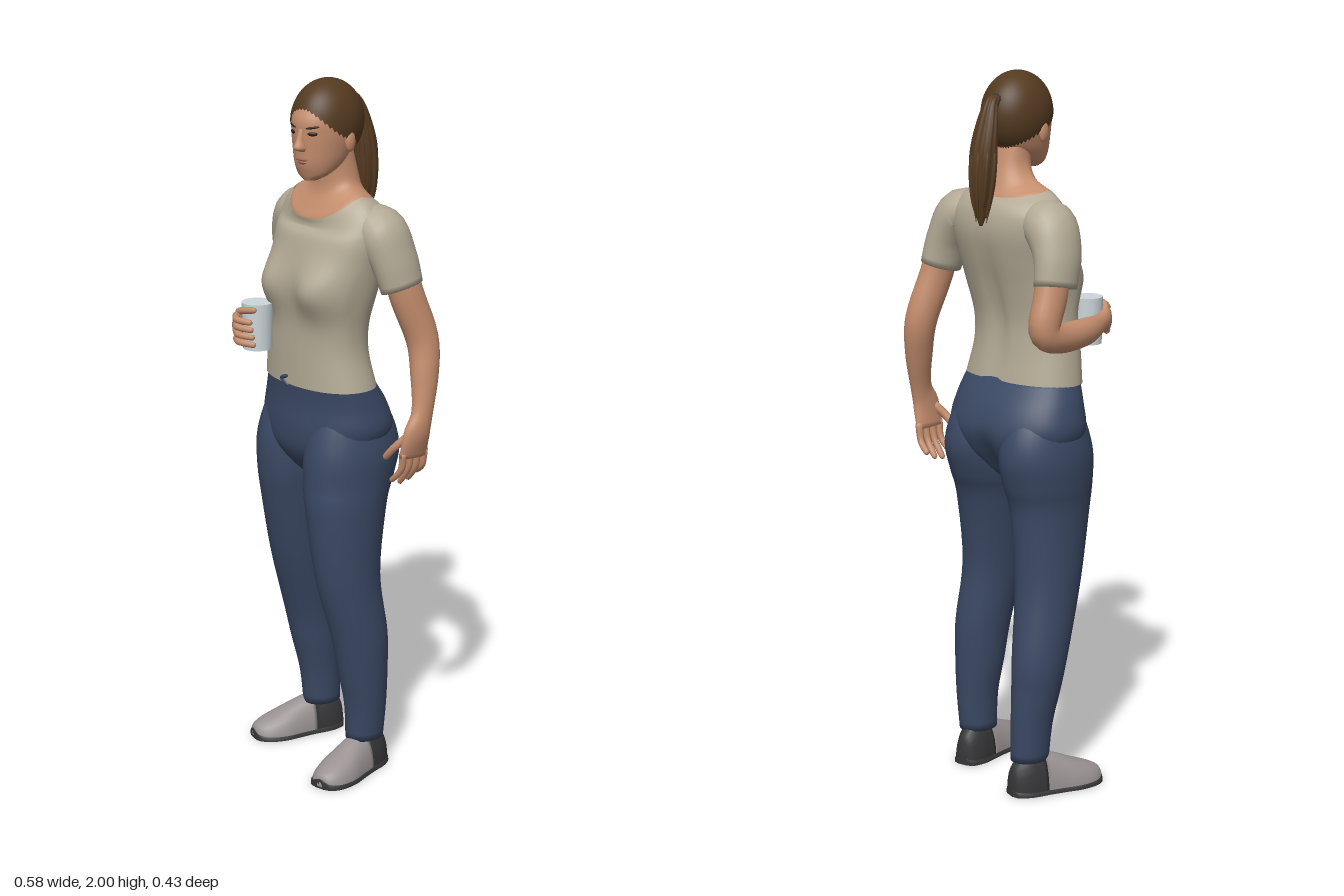
import * as THREE from 'three';
import { mergeVertices } from 'three/addons/utils/BufferGeometryUtils.js';

const V = (x, y, z) => new THREE.Vector3(x, y, z);
const mat = (name, color) => new THREE.MeshStandardMaterial({ name, color, side: THREE.DoubleSide });

// Smooth skin through rings [x, y, z, radiusU, radiusV]; fixed keeps every ring in one plane direction
function loft(rings, { u0 = V(1, 0, 0), fixed = null, seg = 24, steps = 5, pow = 1, caps = true, ripple = 0, warp = null } = {}) {
  const path = new THREE.CatmullRomCurve3(rings.map(r => V(r[0], r[1], r[2])), false, 'catmullrom');
  const size = new THREE.CatmullRomCurve3(rings.map(r => V(r[3], r[4], 0)), false, 'catmullrom');
  const rows = (rings.length - 1) * steps, pos = [], idx = [];
  const soft = c => Math.sign(c) * Math.abs(c) ** pow;
  for (let i = 0; i <= rows; i++) {
    const c = path.getPoint(i / rows), s = size.getPoint(i / rows);
    const t = fixed || path.getTangent(i / rows);
    const u = u0.clone().addScaledVector(t, -t.dot(u0)).normalize();
    const v = t.clone().cross(u);
    for (let j = 0; j < seg; j++) {
      const a = j / seg * Math.PI * 2, k = 1 + ripple * Math.cos(a * seg / 4);
      const p = c.clone().addScaledVector(u, s.x * k * soft(Math.cos(a))).addScaledVector(v, s.y * k * soft(Math.sin(a)));
      if (warp) warp(p);
      pos.push(p.x, p.y, p.z);
      if (i < rows) {
        const A = i * seg + j, B = i * seg + (j + 1) % seg;
        idx.push(A, B, B + seg, A, B + seg, A + seg);
      }
    }
  }
  if (caps) [0, rows].forEach(row => {
    const c = path.getPoint(row / rows), n = pos.length / 3;
    if (warp) warp(c);
    pos.push(c.x, c.y, c.z);
    for (let j = 0; j < seg; j++) {
      const A = row * seg + j, B = row * seg + (j + 1) % seg;
      row ? idx.push(A, B, n) : idx.push(B, A, n);
    }
  });
  const g = new THREE.BufferGeometry();
  g.setAttribute('position', new THREE.Float32BufferAttribute(pos, 3));
  g.setIndex(idx);
  g.computeVertexNormals();
  return g;
}

const UP = V(0, 1, 0), Z = V(0, 0, 1);
const upright = (rings, o = {}) => loft(rings, { fixed: UP, ...o }); // rings listed from low to high

function add(parent, name, geo, material) {
  const m = new THREE.Mesh(geo, material);
  m.name = name;
  parent.add(m);
  return m;
}

function blob(parent, name, material, p, s, ry = 0, rz = 0) {
  const m = add(parent, name, new THREE.SphereGeometry(1, 16, 10), material);
  m.position.set(...p);
  m.scale.set(...s);
  m.rotation.set(0, ry, rz);
}

const finger = (g, name, m, pts, r, u0) => add(g, name,
  loft(pts.map((p, i) => [...p, r * (1 - i * 0.12), r * (1 - i * 0.12)]).concat([[...pts[2].map((v, k) => v + (v - pts[1][k]) * 0.2), r * 0.3, r * 0.3]]), { u0, seg: 8, steps: 4 }), m);

// Soft bump around a point in x and y
const bump = (p, x, y, sx, sy) => Math.exp(-(((p.x - x) / sx) ** 2) - ((p.y - y) / sy) ** 2);

// Lowers the collar at the front and a little at the back
function scoop(p) {
  const d = (p.z + 0.045) / 0.09;
  p.y -= THREE.MathUtils.smoothstep(p.y, 1.57, 1.69) * (0.066 * Math.min(1, Math.max(0, d)) ** 1.5 + 0.02 * Math.min(1, Math.max(0, -d)));
}

export function createModel() {
  const body = new THREE.Group();
  body.name = 'standingWoman';
  const skin = mat('skin', 0xc48d6d), hair = mat('hair', 0x543a20), shirt = mat('shirt', 0xb3aa95);
  const denim = mat('trousers', 0x3a4863), shoe = mat('shoeUpper', 0x9a9292), dark = mat('shoeDark', 0x363638);
  const cupMat = mat('cup', 0xccd6da), eye = mat('eyeDark', 0x2c1e18), lip = mat('lips', 0xa06354), tie = mat('hairTie', 0x2b3244);

  // Shirt body: bust, spine groove and a scooped neckline
  add(body, 'shirtBody', upright([
    [-0.033, 1.155, -0.02, 0.192, 0.114], [-0.037, 1.25, -0.012, 0.174, 0.106], [-0.03, 1.33, -0.012, 0.168, 0.104],
    [-0.02, 1.42, -0.022, 0.176, 0.112], [-0.015, 1.5, -0.034, 0.184, 0.122], [-0.015, 1.57, -0.048, 0.194, 0.122],
    [-0.018, 1.63, -0.058, 0.19, 0.108], [-0.02, 1.668, -0.055, 0.164, 0.1], [-0.02, 1.69, -0.045, 0.132, 0.092],
  ], {
    seg: 48, pow: 0.9, caps: false, warp: p => {
      if (p.z > 0) p.z += 0.046 * (bump(p, -0.115, 1.435, 0.072, 0.07) + bump(p, 0.08, 1.435, 0.072, 0.07));
      if (p.z < -0.07) p.z += 0.016 * bump(p, -0.025, 1.35, 0.025, 0.18);
      scoop(p);
    },
  }), shirt);

  // Neck and upper chest, closing the collar
  add(body, 'neck', upright([
    [-0.02, 1.66, -0.05, 0.135, 0.09], [-0.02, 1.689, -0.045, 0.131, 0.091], [-0.019, 1.701, -0.05, 0.106, 0.079],
    [-0.015, 1.72, -0.056, 0.076, 0.064], [-0.008, 1.76, -0.052, 0.061, 0.055], [-0.008, 1.82, -0.04, 0.058, 0.05],
  ], { seg: 48, pow: 0.9, warp: scoop }), skin);

  // Sleeves and arms
  add(body, 'rightSleeve', loft([[-0.1, 1.59, -0.062, 0.06, 0.05], [-0.178, 1.6, -0.068, 0.077, 0.07],
    [-0.224, 1.53, -0.08, 0.073, 0.057], [-0.237, 1.442, -0.098, 0.066, 0.05]], { u0: Z }), shirt);
  add(body, 'leftSleeve', loft([[0.07, 1.59, -0.072, 0.06, 0.05], [0.143, 1.598, -0.08, 0.077, 0.07],
    [0.186, 1.53, -0.096, 0.072, 0.055], [0.206, 1.448, -0.112, 0.065, 0.049]], { u0: Z }), shirt);
  add(body, 'rightArm', loft([[-0.22, 1.55, -0.085, 0.04, 0.05], [-0.237, 1.43, -0.115, 0.042, 0.05], [-0.243, 1.335, -0.145, 0.041, 0.045],
    [-0.243, 1.305, -0.09, 0.04, 0.042], [-0.226, 1.303, 0.03, 0.032, 0.038], [-0.193, 1.31, 0.12, 0.021, 0.026],
    [-0.168, 1.31, 0.165, 0.018, 0.038], [-0.14, 1.31, 0.19, 0.012, 0.036]]), skin);
  add(body, 'leftArm', loft([[0.19, 1.55, -0.1, 0.04, 0.05], [0.208, 1.43, -0.125, 0.042, 0.051], [0.227, 1.3, -0.168, 0.043, 0.047],
    [0.246, 1.2, -0.162, 0.037, 0.041], [0.261, 1.1, -0.143, 0.025, 0.033], [0.262, 1.04, -0.123, 0.022, 0.044],
    [0.25, 0.975, -0.12, 0.014, 0.048]]), skin);

  // Hands: four fingers and a thumb each
  for (let i = 0; i < 4; i++) {
    const z = -0.084 - i * 0.025, end = [0.905, 0.895, 0.9, 0.915][i], y = 1.34 - i * 0.022;
    finger(body, 'leftFinger', skin, [[0.252, 0.99, z], [0.243, 0.94, z - 0.001], [0.212, end, z - (i - 1) * 0.004]], 0.011, Z);
    finger(body, 'rightFinger', skin, [[-0.158, y, 0.18], [-0.12, y, 0.206 - i * 0.003], [-0.082, y - 0.003, 0.192 - i * 0.004]], 0.011, UP);
  }
  finger(body, 'leftThumb', skin, [[0.252, 1.035, -0.1], [0.222, 1.0, -0.077], [0.193, 0.968, -0.072]], 0.013, Z);
  finger(body, 'rightThumb', skin, [[-0.185, 1.32, 0.14], [-0.158, 1.35, 0.17], [-0.105, 1.362, 0.162]], 0.012, Z);

  // Cup
  const cup = add(body, 'cup', new THREE.CylinderGeometry(0.044, 0.041, 0.132, 32), cupMat);
  cup.position.set(-0.135, 1.309, 0.125);

  // Trousers
  add(body, 'hips', upright([
    [-0.045, 0.88, -0.045, 0.03, 0.07], [-0.045, 0.92, -0.045, 0.095, 0.108], [-0.045, 0.97, -0.049, 0.18, 0.138],
    [-0.045, 1.03, -0.054, 0.216, 0.147], [-0.043, 1.1, -0.045, 0.206, 0.132], [-0.033, 1.168, -0.02, 0.186, 0.108],
  ], {
    seg: 48, pow: 0.92, warp: p => { // seat cleft
      if (p.z < -0.08) p.z += 0.024 * bump(p, -0.045, 0.96, 0.03, 0.07);
    },
  }), denim);
  add(body, 'rightLeg', upright([
    [-0.177, 0.095, -0.135, 0.049, 0.058], [-0.18, 0.2, -0.13, 0.054, 0.064], [-0.184, 0.3, -0.117, 0.065, 0.074], [-0.186, 0.4, -0.104, 0.073, 0.084],
    [-0.171, 0.6, -0.06, 0.084, 0.1], [-0.158, 0.8, -0.04, 0.096, 0.124], [-0.155, 0.88, -0.045, 0.107, 0.14],
    [-0.155, 0.96, -0.053, 0.11, 0.148], [-0.15, 1.04, -0.054, 0.1, 0.13], [-0.14, 1.12, -0.045, 0.08, 0.09],
  ], { seg: 32 }), denim);
  add(body, 'leftLeg', upright([
    [0.106, 0.095, -0.07, 0.049, 0.058], [0.109, 0.2, -0.07, 0.056, 0.064], [0.107, 0.3, -0.062, 0.066, 0.075], [0.104, 0.42, -0.05, 0.073, 0.087],
    [0.091, 0.6, -0.018, 0.08, 0.1], [0.077, 0.8, -0.022, 0.099, 0.124], [0.068, 0.88, -0.038, 0.107, 0.139],
    [0.065, 0.96, -0.052, 0.11, 0.148], [0.06, 1.04, -0.054, 0.1, 0.13], [0.055, 1.12, -0.045, 0.08, 0.09],
  ], { seg: 32 }), denim);
  [-0.4, 0.35].forEach(r => blob(body, 'drawstring', denim, [-0.055, 1.165 + r * 0.02, 0.092], [0.022, 0.006, 0.006], 0, r));

  // Shoes: dark heel and sole, light upper
  const last = [[0, 0.012, 0.045], [0.012, 0.032, 0.085], [0.05, 0.047, 0.117], [0.1, 0.05, 0.114],
    [0.15, 0.055, 0.098], [0.2, 0.061, 0.076], [0.25, 0.054, 0.056], [0.28, 0.034, 0.04], [0.289, 0.01, 0.02]];
  const shoePart = (from, to, grow, h) => loft(last.slice(from, to).map(([z, w, y]) => [0, 0, z, w + grow, h || y]),
    { fixed: Z, pow: 0.9, warp: p => { p.y = Math.max(p.y, h ? 0 : 0.006); } });
  [['left', 0.087, -0.15, 0.228], ['right', -0.17, -0.206, -0.262]].forEach(([side, x, z, yaw]) => {
    const g = new THREE.Group();
    g.name = side + 'Shoe';
    add(g, 'heel', shoePart(0, 4, 0, 0), dark);
    add(g, 'upper', shoePart(3, 9, 0, 0), shoe);
    add(g, 'sole', shoePart(0, 9, 0.004, 0.028), dark);
    g.position.set(x, 0, z);
    g.rotation.y = yaw;
    body.add(g);
  });

  // Head, turned a little to its left
  const head = new THREE.Group();
  head.name = 'head';
  head.position.x = -0.005;
  head.rotation.y = 0.22;
  body.add(head);
  add(head, 'face', upright([
    [0, 1.733, 0.045, 0.02, 0.022], [0, 1.75, 0.03, 0.046, 0.045], [0, 1.78, 0.005, 0.064, 0.08], [0, 1.82, -0.01, 0.075, 0.098],
    [0, 1.86, -0.016, 0.081, 0.106], [0, 1.9, -0.02, 0.081, 0.109], [0, 1.94, -0.025, 0.071, 0.091], [0, 1.975, -0.025, 0.045, 0.058],
  ], { seg: 40 }), skin);
  add(head, 'nose', upright([[0, 1.816, 0.085, 0.012, 0.01], [0, 1.826, 0.092, 0.016, 0.021], [0, 1.847, 0.089, 0.01, 0.015],
    [0, 1.877, 0.083, 0.008, 0.009]], { seg: 14 }), skin);
  for (const s of [-1, 1]) {
    blob(head, 'ear', skin, [s * 0.083, 1.838, -0.02], [0.011, 0.03, 0.018]);
    blob(head, 'eye', eye, [s * 0.033, 1.865, 0.079], [0.014, 0.006, 0.005], s * 0.5);
    blob(head, 'eyebrow', eye, [s * 0.033, 1.882, 0.079], [0.019, 0.0035, 0.005], s * 0.53, s * 0.15);
  }
  blob(head, 'upperLip', lip, [0, 1.793, 0.085], [0.02, 0.004, 0.006]);
  blob(head, 'lowerLip', lip, [0, 1.785, 0.083], [0.016, 0.005, 0.006]);

  // Hair cap: a dome whose edge drops from forehead to nape
  let cap = new THREE.SphereGeometry(1, 48, 24);
  const pos = cap.attributes.position, uv = cap.attributes.uv;
  for (let i = 0; i < pos.count; i++) {
    const a = uv.getX(i) * Math.PI * 2, f = Math.sin(a);
    const edge = f > 0 ? 1.98 - 0.77 * f ** 1.8 : 1.98 + 0.5 * -f;
    const th = (1 - uv.getY(i)) * edge;
    pos.setXYZ(i, -0.092 * Math.sin(th) * Math.cos(a), 1.885 + 0.115 * Math.cos(th), -0.025 + 0.113 * Math.sin(th) * f);
  }
  // Keep only positions so the seam welds smoothly
  cap.deleteAttribute('uv');
  cap.deleteAttribute('normal');
  cap = mergeVertices(cap, 1e-5);
  cap.computeVertexNormals();
  add(head, 'hairCap', cap, hair);

  // Ponytail with its tie and loose strands
  add(head, 'ponytail', loft([[0, 1.93, -0.115, 0.016, 0.014], [0, 1.925, -0.145, 0.018, 0.016], [0, 1.87, -0.168, 0.03, 0.021],
    [0.003, 1.79, -0.182, 0.037, 0.03], [0.005, 1.7, -0.185, 0.033, 0.029], [0.005, 1.635, -0.19, 0.017, 0.015], [0.005, 1.597, -0.192, 0.004, 0.004]],
  { seg: 40, ripple: 0.08 }), hair);
  const band = add(head, 'hairTie', new THREE.TorusGeometry(0.016, 0.004, 8, 20), tie);
  band.position.set(0, 1.927, -0.138);
  band.rotation.x = 0.2;
  for (let i = 0; i < 8; i++) {
    const a = i / 8 * Math.PI * 2, c = Math.cos(a), s = Math.sin(a);
    add(head, 'strand', loft([[c * 0.02, 1.86, -0.17 + s * 0.014, 0.006, 0.006], [0.003 + c * 0.035, 1.77, -0.183 + s * 0.027, 0.008, 0.006],
      [0.005 + c * 0.028, 1.68, -0.187 + s * 0.024, 0.007, 0.006], [0.005 + c * 0.016, 1.605 + (i % 3) * 0.014, -0.191 + s * 0.012, 0.001, 0.001]],
    { seg: 6, steps: 4 }), hair);
  }
  return body;
}
